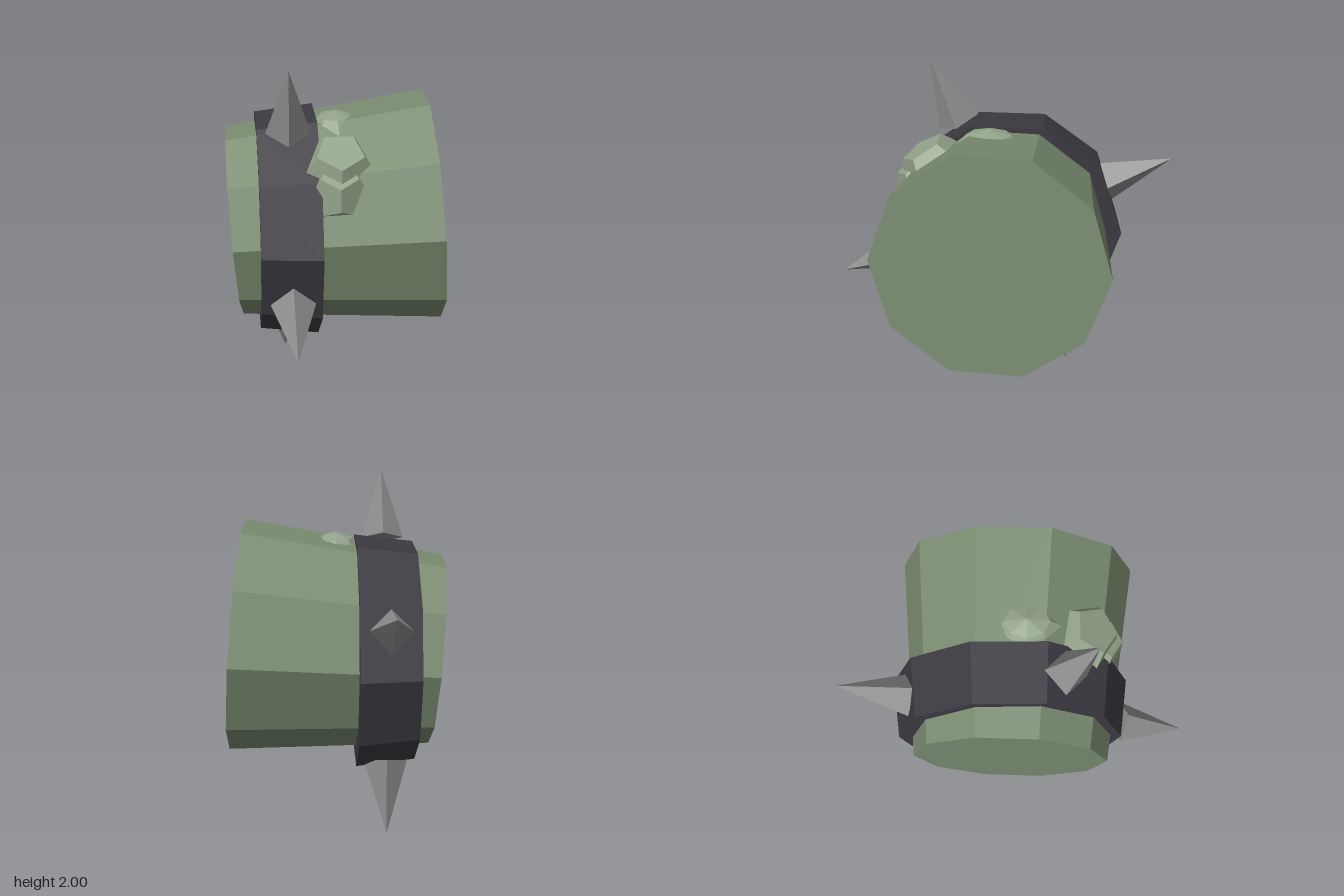
import * as THREE from 'three';

const mat = (color) => new THREE.MeshStandardMaterial({ color, flatShading: true });

export function createModel() {
  const model = new THREE.Group();
  const skin = mat(0x7a8c71), wartSkin = mat(0x93a38a);
  const leather = mat(0x3c3a41), metal = mat(0x8c8c8c);

  const add = (name, geometry, material, x, y, z) => {
    const mesh = new THREE.Mesh(geometry, material);
    mesh.name = name;
    mesh.position.set(x, y, z);
    model.add(mesh);
    return mesh;
  };

  // Ten-sided tapered solid lying along x
  const drum = (rLeft, rRight, length) =>
    new THREE.CylinderGeometry(rLeft, rRight, length, 10).rotateZ(-Math.PI / 2);

  // Limb segment, wider at its left end and slightly tilted
  const start = new THREE.Vector3(-0.585, 1.005, -0.045);
  const end = new THREE.Vector3(0.57, 1.09, 0.0);
  const axis = end.clone().sub(start);
  const mid = start.clone().add(end).multiplyScalar(0.5);
  const limb = add('limb', drum(0.676, 0.555, axis.length()).rotateX(-0.026), skin, mid.x, mid.y, mid.z);
  limb.quaternion.setFromUnitVectors(new THREE.Vector3(1, 0, 0), axis.normalize());

  // Band around the limb
  add('band', drum(0.68, 0.64, 0.34), leather, -0.285, 1.0, -0.045);

  // Four pyramid spikes spaced around the band
  const spike = new THREE.ConeGeometry(0.125, 0.42, 4).translate(0, 0.875, 0);
  const firstAngle = Math.atan2(0.42, 1);
  for (let i = 0; i < 4; i++) {
    add('spike', spike, metal, -0.285, 1, 0).rotation.x = firstAngle + i * Math.PI / 2;
  }

  // Warts sunk into the upper front
  add('topWart', new THREE.SphereGeometry(0.255, 8, 6).scale(0.8, 1, 1), wartSkin, 0, 1.43, 0.05);
  add('middleWart', new THREE.DodecahedronGeometry(0.225), wartSkin, -0.01, 1.4, 0.34);
  add('lowerWart', new THREE.DodecahedronGeometry(0.18), wartSkin, -0.02, 1.32, 0.42);

  return model;
}
